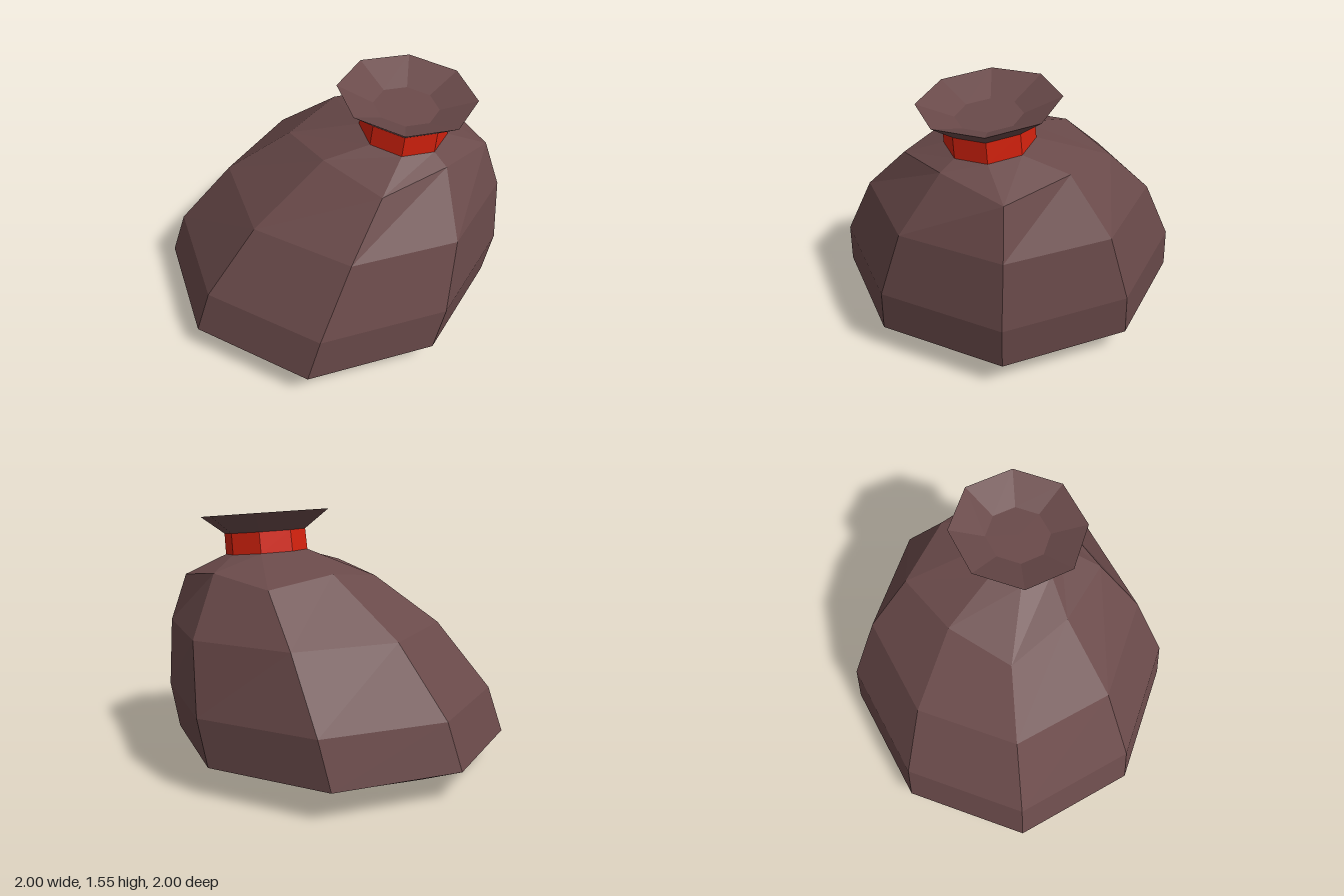
import * as THREE from 'three';

const SIDES = 8;
const TILT = -0.1; // slope of the neck towards the model's left

// Eight-sided ring: r = reach along the axes, d = x/z offset of the diagonal corners
function ring(cx, y, cz, r, { d = r * Math.SQRT1_2, slope = 0, diagonalY = y } = {}) {
  const points = [];
  for (let i = 0; i < SIDES; i++) {
    const a = (i / SIDES) * Math.PI * 2;
    const diagonal = i % 2 === 1;
    const reach = diagonal ? d * Math.SQRT2 : r;
    const dx = reach * Math.sin(a);
    points.push(new THREE.Vector3(cx + dx, (diagonal ? diagonalY : y) + slope * dx, cz + reach * Math.cos(a)));
  }
  return points;
}

// Faceted skin through a list of rings, optionally closed with a fan at either end
function loft(rings, { bottom, top } = {}) {
  const corners = [];
  const add = (...pts) => pts.forEach((p) => corners.push(p));
  for (let i = 0; i < SIDES; i++) {
    const j = (i + 1) % SIDES;
    for (let k = 0; k < rings.length - 1; k++) {
      const lo = rings[k], hi = rings[k + 1];
      add(lo[i], lo[j], hi[j], lo[i], hi[j], hi[i]);
    }
    if (bottom) add(bottom, rings[0][j], rings[0][i]);
    const last = rings[rings.length - 1];
    if (top) add(top, last[i], last[j]);
  }
  const geometry = new THREE.BufferGeometry().setFromPoints(corners);
  geometry.computeVertexNormals();
  return geometry;
}

export function createModel() {
  const cloth = new THREE.MeshStandardMaterial({ color: 0x6a4a4a });
  const cord = new THREE.MeshStandardMaterial({ color: 0xd6220e });
  cloth.name = 'brownCloth';
  cord.name = 'redCord';

  const group = new THREE.Group();
  group.name = 'tiedSack';
  const part = (name, geometry, material) => {
    const mesh = new THREE.Mesh(geometry, material);
    mesh.name = name;
    group.add(mesh);
  };

  const neckLow = ring(0.362, 1.28, -0.245, 0.25, { slope: TILT });
  const neckHigh = ring(0.375, 1.405, -0.247, 0.247, { slope: TILT });

  // Slumped body, leaning to the back left as it rises
  part('sackBody', loft([
    ring(-0.02, 0.047, 0.02, 0.69, { d: 0.49 }),
    ring(-0.015, 0.18, 0.015, 0.985, { d: 0.715 }),
    ring(0.035, 0.46, -0.035, 0.965, { d: 0.7 }),
    ring(0.135, 0.87, -0.145, 0.795, { d: 0.575 }),
    ring(0.235, 1.207, -0.245, 0.477, { d: 0.405, diagonalY: 1.152 }),
    neckLow,
  ], { bottom: new THREE.Vector3(-0.02, 0, 0.02) }), cloth);

  // Cord around the neck
  part('neckCord', loft([neckLow, neckHigh]), cord);

  // Flared mouth with a shallow bowl inside
  part('sackMouth', loft([
    neckHigh,
    ring(0.373, 1.515, -0.25, 0.39, { slope: TILT }),
    ring(0.37, 1.43, -0.25, 0.185, { slope: TILT }),
  ], { top: new THREE.Vector3(0.37, 1.43, -0.25) }), cloth);

  return group;
}
